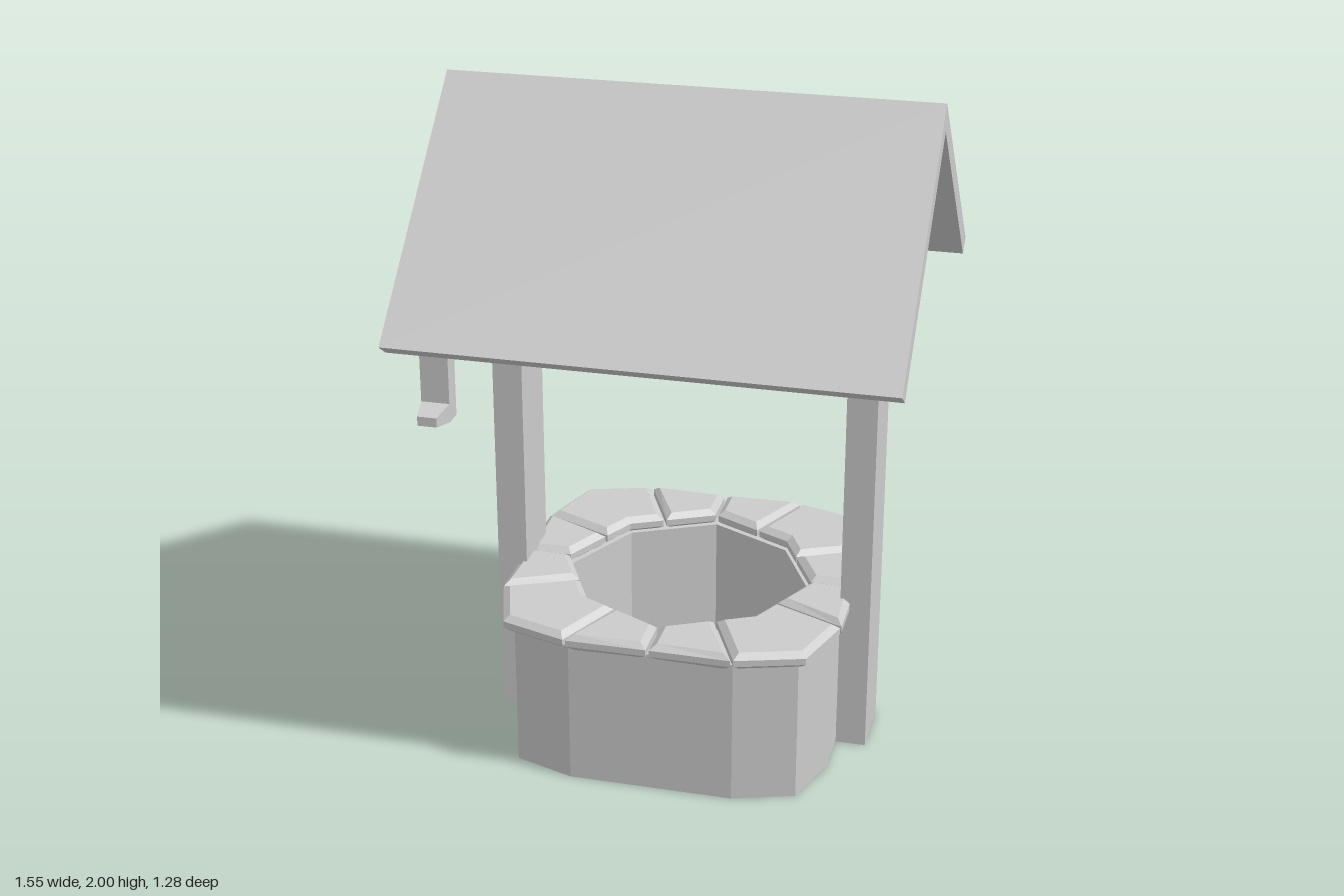
import * as THREE from 'three';

const CX = 0.055; // the well shaft sits slightly off centre
const mat = new THREE.MeshStandardMaterial({ color: 0xcccccc });

function add(parent, name, geometry, x = 0, y = 0, z = 0) {
  const mesh = new THREE.Mesh(geometry, mat);
  mesh.name = name;
  mesh.position.set(x, y, z);
  parent.add(mesh);
  return mesh;
}

const toPoints = (list) => list.map(([x, y]) => new THREE.Vector2(x, y));

// Repeats one quadrant's outline four times around the centre
function fourfold(quadrant) {
  const out = [];
  for (let q = 0; q < 4; q++) out.push(...quadrant.map((p) => turn(p, q)));
  return out;
}

// Quarter turns of a point
function turn([x, y], n) {
  for (let i = 0; i < n; i++) [x, y] = [-y, x];
  return [x, y];
}

// Flat outline raised along y
function raise(outline, depth, hole, bevel) {
  const shape = new THREE.Shape(toPoints(outline));
  if (hole) shape.holes.push(new THREE.Path(toPoints(hole)));
  const g = new THREE.ExtrudeGeometry(shape, { depth, bevelEnabled: false, ...bevel });
  return g.rotateX(-Math.PI / 2);
}

// Side outline (z, y) extruded along x, centred on x = 0
function sideExtrude(outline, width) {
  const g = new THREE.ExtrudeGeometry(new THREE.Shape(toPoints(outline)), { depth: width, bevelEnabled: false });
  return g.translate(0, 0, -width / 2).rotateY(Math.PI / 2);
}

function rod(radius, length, sides = 24) {
  return new THREE.CylinderGeometry(radius, radius, length, sides).rotateZ(Math.PI / 2);
}

export function createModel() {
  const model = new THREE.Group();
  model.name = 'well';

  // Rounded-square shaft with an eight-sided hole
  const wall = fourfold([[0.485, 0.245], [0.425, 0.425], [0.245, 0.485]]);
  const hole = fourfold([[0.375, 0], [0.25, 0.25]]);
  add(model, 'shaftWall', raise(wall, 0.45, hole), CX);

  // Bevelled rim stones: three per quadrant
  const rim = new THREE.Group();
  rim.name = 'rimStones';
  model.add(rim);
  const stones = [
    [[0.375, 0], [0.52, 0], [0.52, 0.25], [0.3, 0.15]],
    [[0.3, 0.15], [0.52, 0.25], [0.455, 0.455], [0.25, 0.52], [0.15, 0.3], [0.25, 0.25]],
    [[0.15, 0.3], [0.25, 0.52], [0, 0.52], [0, 0.375]],
  ];
  const bevel = { bevelEnabled: true, bevelThickness: 0.016, bevelSize: 0.02, bevelOffset: -0.025, bevelSegments: 1 };
  for (let q = 0; q < 4; q++) {
    for (const stone of stones) {
      add(rim, 'rimStone', raise(stone.map((p) => turn(p, q)), 0.02, null, bevel), CX, 0.46, 0);
    }
  }

  // Posts, roof braces and axle collars on both sides
  const brace = [[0, 1.92], [-0.53, 1.41], [-0.425, 1.345], [-0.1, 1.65], [0.1, 1.65], [0.425, 1.345], [0.53, 1.41]];
  const post = [[-0.102, 0], [0.102, 0], [0.102, 1.81], [0, 1.91], [-0.102, 1.81]];
  for (const [side, x] of [['right', -0.477], ['left', 0.587]]) {
    add(model, side + 'Post', sideExtrude(post, 0.09), x);
    add(model, side + 'RoofBrace', sideExtrude(brace, 0.075), x);
    add(model, side + 'AxleCollar', rod(0.046, 0.115), x, 1.26, 0);
  }

  // Gabled roof
  const roof = [[0, 2], [-0.64, 1.395], [-0.59, 1.36], [0, 1.92], [0.59, 1.36], [0.64, 1.395]];
  add(model, 'roof', sideExtrude(roof, 1.435), CX);

  // Axle and crank
  add(model, 'axle', rod(0.031, 1.435), -0.06, 1.26, 0);
  add(model, 'crankArm', new THREE.BoxGeometry(0.09, 0.345, 0.06), -0.733, 1.0775, 0);
  // Grip narrows towards its front end
  const grip = new THREE.BoxGeometry(0.09, 0.06, 0.08);
  const pos = grip.attributes.position;
  for (let i = 0; i < pos.count; i++) {
    if (pos.getZ(i) > 0) pos.setXY(i, pos.getX(i) * 0.68, pos.getY(i) * 0.5);
  }
  grip.computeVertexNormals();
  add(model, 'crankGrip', grip, -0.733, 0.935, 0.07);

  return model;
}
